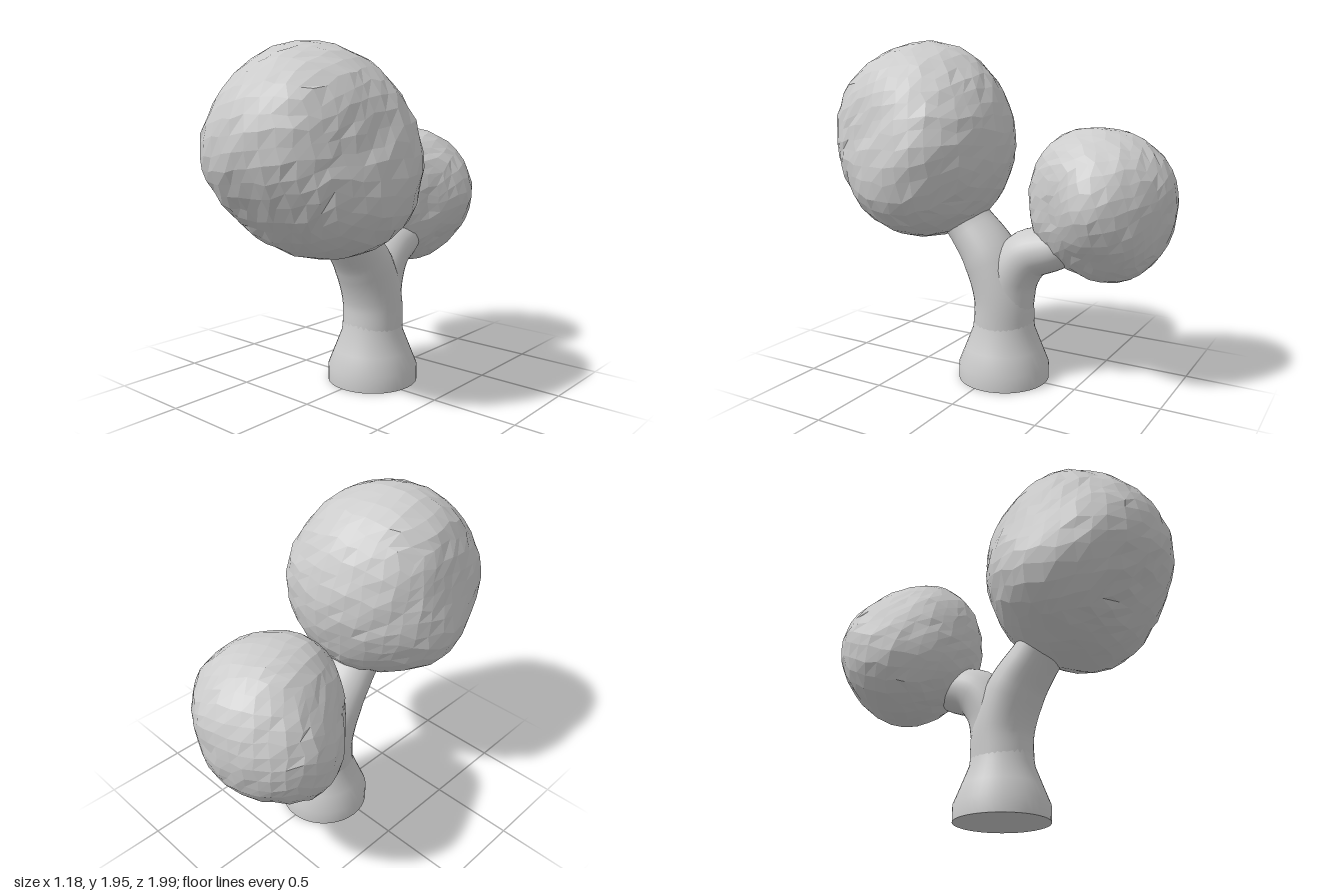
import * as THREE from 'three';
import { mergeVertices } from 'three/addons/utils/BufferGeometryUtils.js';

const V = (x, y, z) => new THREE.Vector3(x, y, z);

// Repeatable value in -1..1 for a direction, so shared cube edges stay closed
function jitter(d, seed) {
  const k = [d.x, d.y, d.z].map((c) => Math.round(c * 1000) / 1000);
  const s = Math.sin(k[0] * 127.1 + k[1] * 311.7 + k[2] * 74.7 + seed * 19.3) * 43758.5453;
  return (s - Math.floor(s)) * 2 - 1;
}

// Weld a geometry so its shading is smooth, seam included
function smooth(geometry) {
  geometry.deleteAttribute('uv');
  geometry.deleteAttribute('normal');
  const welded = mergeVertices(geometry, 1e-4);
  welded.computeVertexNormals();
  return welded;
}

// Curved limb whose radius changes along its path; wide stretches it sideways
function limb(points, radii, wide) {
  const curve = new THREE.CatmullRomCurve3(points);
  const n = 24, sides = 32;
  const geo = new THREE.TubeGeometry(curve, n, 1, sides);
  const pos = geo.attributes.position, p = V(0, 0, 0);
  for (let i = 0; i <= n; i++) {
    const centre = curve.getPointAt(i / n);
    const f = (i / n) * (radii.length - 1), a = Math.min(Math.floor(f), radii.length - 2);
    const r = THREE.MathUtils.lerp(radii[a], radii[a + 1], f - a);
    const stretch = THREE.MathUtils.lerp(1, wide, i / n);
    for (let j = 0; j <= sides; j++) {
      const k = i * (sides + 1) + j;
      p.fromBufferAttribute(pos, k).sub(centre).multiplyScalar(r);
      p.x *= stretch;
      p.add(centre);
      pos.setXYZ(k, p.x, p.y, p.z);
    }
  }
  return smooth(geo);
}

// Faceted ball made from a cube rounded into a sphere;
// each bump [x, y, z, height] raises or dents it in one direction
function crown(radius, segments, seed, turn, bumps) {
  const geo = new THREE.BoxGeometry(2, 2, 2, segments, segments, segments);
  const pos = geo.attributes.position, d = V(0, 0, 0);
  const rot = new THREE.Euler(...turn);
  const swells = bumps.map(([x, y, z, height]) => ({ dir: V(x, y, z).normalize(), height }));
  for (let i = 0; i < pos.count; i++) {
    d.fromBufferAttribute(pos, i);
    // even out the cell sizes before rounding
    d.set(...d.toArray().map((c) => Math.tan(c * Math.PI / 4))).normalize();
    let r = radius * (1 + 0.012 * jitter(d, seed));
    // slide corners a little so the cells are uneven
    const slide = V(jitter(d, seed + 1), jitter(d, seed + 2), jitter(d, seed + 3));
    d.addScaledVector(slide, 0.025).normalize().applyEuler(rot);
    for (const s of swells) r += s.height * Math.exp(-8 * (1 - d.dot(s.dir)));
    d.multiplyScalar(r);
    pos.setXYZ(i, d.x, d.y, d.z);
  }
  geo.computeVertexNormals();
  return geo;
}

export function createModel() {
  const tree = new THREE.Group();
  tree.name = 'tree';
  const bark = new THREE.MeshStandardMaterial({ color: 0xcccccc });
  const leaf = new THREE.MeshStandardMaterial({ color: 0xcccccc, flatShading: true });
  const add = (name, geo, material, x = 0, y = 0, z = 0) => {
    const mesh = new THREE.Mesh(geo, material);
    mesh.name = name;
    mesh.position.set(x, y, z);
    tree.add(mesh);
    return mesh;
  };

  // Flared trunk with a flat underside
  const profile = [[0.265, 0], [0.265, 0.09], [0.225, 0.19], [0.182, 0.3], [0.168, 0.42]]
    .map(([r, y]) => new THREE.Vector2(r, y));
  add('trunk', smooth(new THREE.LatheGeometry(profile, 40)), bark, 0.01, 0, -0.05);
  add('trunkBase', new THREE.CircleGeometry(0.265, 40), bark, 0.01, 0, -0.05).rotation.x = Math.PI / 2;

  // Two limbs of the fork
  add('frontBranch', limb(
    [V(0.01, 0.3, -0.05), V(0.01, 0.5, -0.045), V(0.01, 0.72, 0.04), V(0.01, 0.885, 0.17), V(0.02, 1.05, 0.31)],
    [0.178, 0.17, 0.16, 0.135, 0.125], 1.25), bark);
  add('backBranch', limb(
    [V(0.01, 0.45, -0.07), V(0, 0.62, -0.1), V(-0.02, 0.745, -0.19), V(-0.05, 0.8, -0.35), V(-0.1, 0.88, -0.5)],
    [0.155, 0.152, 0.145, 0.125, 0.115], 1.25), bark);

  // Foliage balls
  add('frontCrown', crown(0.54, 10, 3, [0.1, 0.15, 0.1], [
    [-0.9, -0.45, -0.1, 0.065], [-0.95, 0.2, 0, -0.045], [-0.5, 0.85, 0, 0.04], [0.95, 0.25, 0, -0.06],
    [0.75, -0.65, -0.2, 0.07], [0, 0.85, -0.5, 0.015], [0, -0.75, -0.65, 0.03], [0, -0.6, 0.8, -0.06],
    [-0.7, 0, 0.75, 0.045], [-0.9, 0, 0.3, -0.03], [0.85, 0, 0.5, -0.05], [0.88, 0, -0.45, 0.04],
    [0, -1, 0, 0.02],
  ]), leaf, 0.04, 1.385, 0.475);
  add('backCrown', crown(0.422, 9, 8, [0.3, 0.4, -0.2], [
    [-0.8, -0.6, 0, 0.055], [-0.8, 0.45, 0.2, -0.045], [0.87, 0, 0.45, -0.07], [1, 0, -0.1, 0.035],
    [-0.95, 0, -0.35, 0.035], [-0.75, 0, 0.65, -0.03], [0, 0.8, 0.6, 0.03], [0, -0.15, -1, -0.03],
    [0.65, 0, -0.75, -0.03], [0, -0.9, -0.35, 0.02], [0.75, -0.65, 0.1, -0.05],
  ]), leaf, -0.145, 1.05, -0.585);
  return tree;
}
